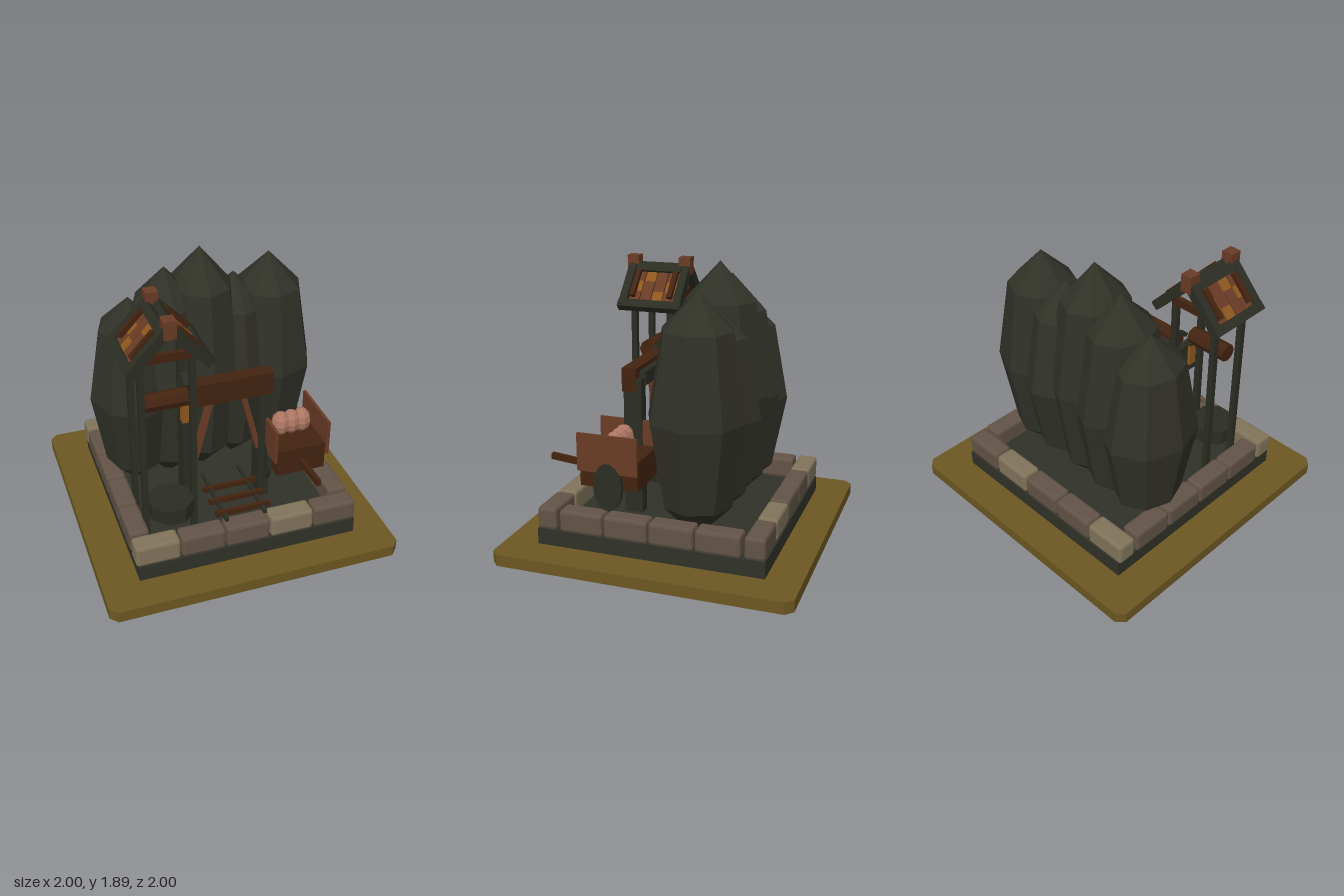
import * as THREE from 'three';
import { RoundedBoxGeometry } from 'three/addons/geometries/RoundedBoxGeometry.js';

const mat = (name, color) => {
  const m = new THREE.MeshStandardMaterial({ color });
  m.name = name;
  m.flatShading = true;
  return m;
};

export function createModel() {
  const model = new THREE.Group();
  model.name = 'mine';
  const olive = mat('olive ground', 0x6c5722);
  const rock = mat('dark rock', 0x303127);
  const timber = mat('dark timber', 0x2b2d23);
  const stoneLight = mat('light stone', 0x80735a);
  const stoneDark = mat('brown stone', 0x625346);
  const brown = mat('dark brown wood', 0x432310);
  const red = mat('red brown wood', 0x693b25);
  const orange = mat('orange wood', 0x8e581d);
  const pink = mat('pink ore', 0xae7763);

  const add = (name, geo, material, x = 0, y = 0, z = 0, parent = model) => {
    const m = new THREE.Mesh(geo, material);
    m.name = name;
    m.position.set(x, y, z);
    parent.add(m);
    return m;
  };
  // Box given by its lower and upper limits on each axis
  const box = (name, material, x0, x1, y0, y1, z0, z1, parent = model) =>
    add(name, new THREE.BoxGeometry(x1 - x0, y1 - y0, z1 - z0), material,
      (x0 + x1) / 2, (y0 + y1) / 2, (z0 + z1) / 2, parent);
  // Bar between two points of the front (x, y) plane
  const barXY = (name, material, a, b, thick, z0, z1, parent = model) => {
    const dx = b[0] - a[0], dy = b[1] - a[1];
    const m = add(name, new THREE.BoxGeometry(Math.hypot(dx, dy), thick, z1 - z0), material,
      (a[0] + b[0]) / 2, (a[1] + b[1]) / 2, (z0 + z1) / 2, parent);
    m.rotation.z = Math.atan2(dy, dx);
    return m;
  };

  // Ground slab with cut corners
  const c = 0.95;
  const slab = new THREE.Shape([[-c, -1], [c, -1], [1, -c], [1, c], [c, 1], [-c, 1], [-1, c], [-1, -c]]
    .map(p => new THREE.Vector2(...p)));
  add('groundSlab', new THREE.ExtrudeGeometry(slab, { depth: 0.08, bevelEnabled: false })
    .rotateX(-Math.PI / 2), olive);
  box('plinth', rock, -0.75, 0.76, 0.08, 0.19, -0.77, 0.77);

  // Stone border
  const border = new THREE.Group();
  border.name = 'stoneBorder';
  model.add(border);
  const stone = (material, w, d, x, z) =>
    add('borderStone', new RoundedBoxGeometry(w, 0.15, d, 1, 0.02), material, x, 0.265, z, border);
  for (const side of [-1, 1]) {
    for (let i = 0; i < 5; i++)
      stone(i % 3 === 0 ? stoneLight : stoneDark, 0.298, 0.135, -0.617 + i * 0.3075, side * 0.7);
    for (let i = 0; i < 4; i++)
      stone(stoneDark, 0.135, 0.298, side * 0.7, -0.463 + i * 0.3075);
  }

  // Rock peaks: x, z, half width, half depth, top, half height
  const peaks = [
    [-0.5, -0.24, 0.295, 0.345, 1.595, 0.735],
    [-0.25, -0.24, 0.31, 0.34, 1.775, 0.83],
    [-0.01, -0.23, 0.3, 0.34, 1.89, 0.88],
    [0.235, -0.25, 0.29, 0.34, 1.665, 0.74],
    [0.48, -0.24, 0.32, 0.33, 1.78, 0.81],
  ];
  for (const [x, z, w, d, top, h] of peaks)
    add('rockPeak', new THREE.SphereGeometry(1, 8, 4).scale(w, h, d), rock, x, top - h, z);

  // Hoist tower
  const tower = new THREE.Group();
  tower.name = 'hoistTower';
  tower.position.x = -0.45;
  model.add(tower);
  for (const x of [-0.17, 0.16])
    for (const z of [0.22, 0.485])
      box('towerPost', timber, x - 0.02, x + 0.02, 0.19, 1.54, z - 0.02, z + 0.02, tower);
  add('bucket', new THREE.CylinderGeometry(0.155, 0.155, 0.11, 8).rotateY(Math.PI / 8),
    timber, 0, 0.415, 0.485, tower);
  add('winchDrum', new THREE.CylinderGeometry(0.062, 0.062, 0.3, 8).rotateZ(Math.PI / 2),
    brown, 0, 1.18, 0.395, tower);
  const crank = box('crank', timber, 0.15, 0.2, 1.22, 1.245, 0.24, 0.34, tower);
  crank.rotation.x = 0.5;

  // Gable roof: frames with plank panels on both slopes
  for (const s of [-1, 1]) {
    const on = (t, lift = 0) => [s * (0.02 + 0.23 * t + lift * 0.7), 1.745 - 0.245 * t + lift * 0.7];
    for (const z of [0.12, 0.515])
      barXY('rafter', timber, on(-0.05), on(1), 0.065, z, z + 0.055, tower);
    barXY('eaveBeam', timber, on(0.86), on(1.04), 0.06, 0.115, 0.575, tower);
    barXY('ridgeBeam', timber, on(-0.05), on(0.14), 0.06, 0.18, 0.51, tower);
    for (const z of [0.19, 0.465])
      barXY('roofTrim', brown, on(0.15, 0.025), on(0.78, 0.025), 0.035, z, z + 0.035, tower);
    for (let col = 0; col < 4; col++)
      for (let row = 0; row < 3; row++) {
        const z = 0.183 + col * 0.083;
        barXY('roofPlank', (col * 2 + row) % 3 === 1 ? orange : red,
          on(0.12 + row * 0.25), on(0.37 + row * 0.25), 0.025, z, z + 0.075, tower);
      }
  }
  for (const z of [0.157, 0.542])
    box('ridgeCap', red, -0.04, 0.04, 1.71, 1.83, z - 0.042, z + 0.042, tower);
  for (const z of [0.17, 0.5])
    box('gableTie', brown, -0.15, 0.15, 1.535, 1.59, z, z + 0.035, tower);

  // Mine entrance
  box('entrancePost', timber, -0.31, -0.23, 0.19, 1.13, 0.21, 0.335);
  box('entrancePost', timber, 0.22, 0.3, 0.19, 1.13, 0.21, 0.335);
  box('backBeam', timber, -0.24, 0.24, 1.08, 1.17, 0.2, 0.27);
  box('lintel', brown, -0.26, 0.305, 1.04, 1.2, 0.245, 0.345);
  for (const s of [-1, 1])
    barXY('entranceBrace', red, [s * 0.11, 1.05], [s * 0.225, 0.6], 0.035, 0.27, 0.32);

  // Lantern
  box('lanternGlass', orange, -0.33, -0.28, 0.97, 1.13, 0.335, 0.39);
  box('lanternBase', timber, -0.335, -0.275, 0.935, 0.97, 0.33, 0.4);
  box('lanternCap', timber, -0.335, -0.275, 1.13, 1.15, 0.33, 0.395);

  // Track
  for (const x of [-0.135, 0.13])
    box('rail', timber, x - 0.012, x + 0.012, 0.36, 0.385, 0.19, 0.71);
  for (const z of [0.37, 0.505, 0.635])
    box('sleeper', brown, -0.19, 0.19, 0.36, 0.395, z - 0.014, z + 0.014);

  // Ore cart
  const cart = new THREE.Group();
  cart.name = 'oreCart';
  model.add(cart);
  box('cartBody', brown, 0.29, 0.63, 0.48, 0.675, 0.11, 0.51, cart);
  box('cartSide', red, 0.265, 0.285, 0.59, 0.845, 0.11, 0.515, cart);
  box('cartSide', red, 0.635, 0.655, 0.59, 0.845, 0.105, 0.52, cart);
  for (const x of [0.275, 0.645])
    add('cartWheel', new THREE.CylinderGeometry(1, 1, 0.03, 14).rotateZ(Math.PI / 2)
      .scale(1, 0.165, 0.1), timber, x, 0.495, 0.31, cart);
  const handle = box('cartHandle', brown, 0.445, 0.477, 0.555, 0.597, 0.49, 0.795, cart);
  handle.rotation.x = -0.1;
  for (const x of [0.39, 0.465, 0.54])
    add('oreLump', new THREE.SphereGeometry(1, 8, 6).scale(0.065, 0.088, 0.07), pink, x, 0.755, 0.3, cart);

  return model;
}
